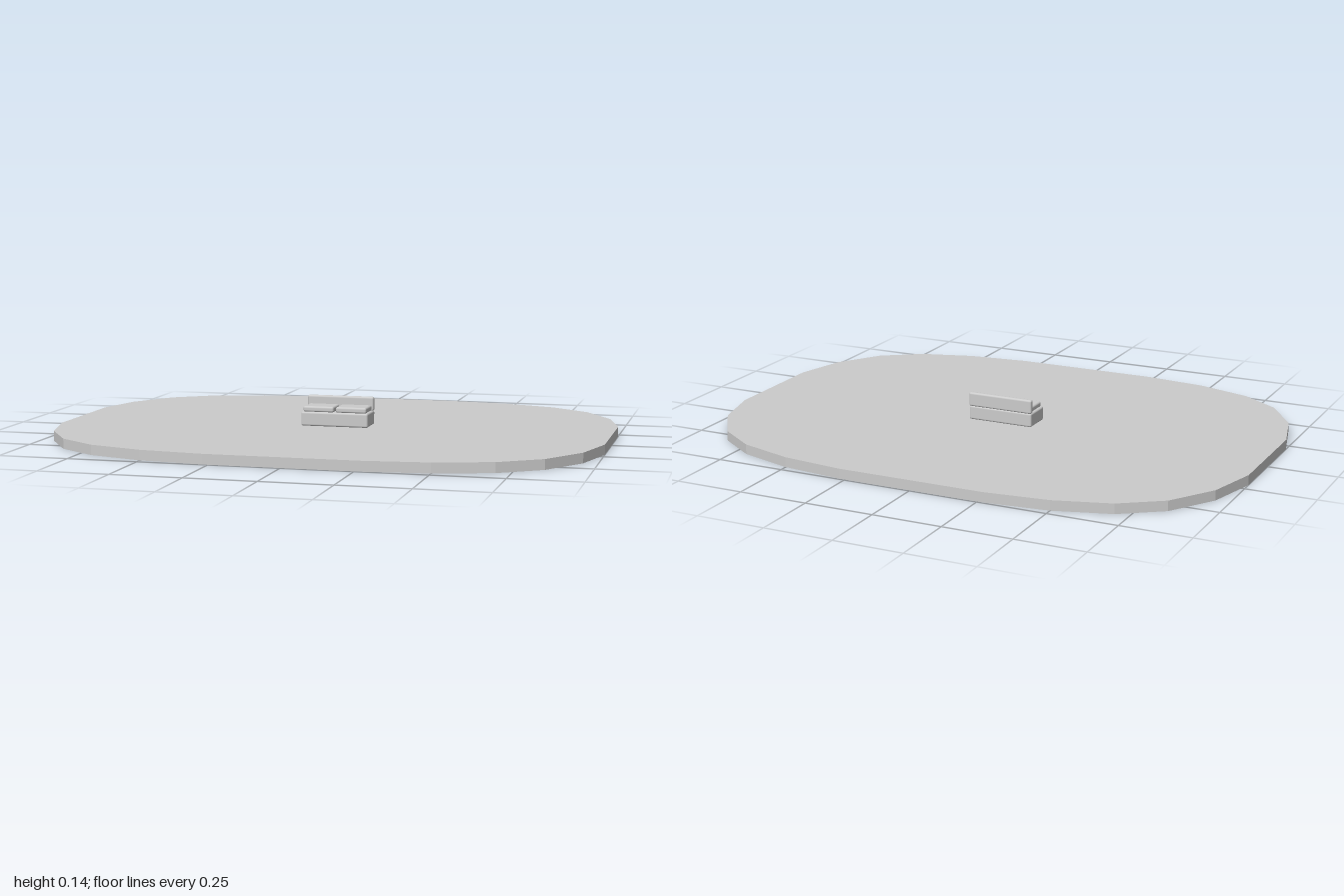
import * as THREE from 'three';
import { RoundedBoxGeometry } from 'three/addons/geometries/RoundedBoxGeometry.js';

const material = new THREE.MeshStandardMaterial({ color: 0xcccccc });
const SLAB_TOP = 0.036;

// Rounded block given by its lower and upper corners
function block(name, [x0, y0, z0], [x1, y1, z1], radius) {
  const geometry = new RoundedBoxGeometry(x1 - x0, y1 - y0, z1 - z0, 3, radius);
  const mesh = new THREE.Mesh(geometry, material);
  mesh.name = name;
  mesh.position.set((x0 + x1) / 2, (y0 + y1) / 2, (z0 + z1) / 2);
  return mesh;
}

// Wide slab: one quarter of the outline mirrored into all four
function createSlab() {
  const quarter = [[1, 0.21], [0.95, 0.4], [0.845, 0.56], [0.7, 0.66], [0.5, 0.72], [0.27, 0.745]];
  const flipped = [...quarter].reverse();
  const outline = [
    ...quarter,
    ...flipped.map(([x, z]) => [-x, z]),
    ...quarter.map(([x, z]) => [-x, -z]),
    ...flipped.map(([x, z]) => [x, -z]),
  ].map(([x, z]) => new THREE.Vector2(x, z));
  const geometry = new THREE.ExtrudeGeometry(new THREE.Shape(outline), { depth: SLAB_TOP, bevelEnabled: false });
  geometry.rotateX(-Math.PI / 2);
  const slab = new THREE.Mesh(geometry, material);
  slab.name = 'groundSlab';
  return slab;
}

// Small two-seat sofa in the middle of the slab
function createSofa() {
  const sofa = new THREE.Group();
  sofa.name = 'sofa';
  sofa.add(block('sofaBase', [-0.125, SLAB_TOP, -0.055], [0.125, 0.088, 0.055], 0.007));
  sofa.add(block('backrest', [-0.125, 0.086, -0.056], [0.125, 0.138, -0.036], 0.007));
  for (const side of [-1, 1]) {
    const name = side > 0 ? 'leftSeatCushion' : 'rightSeatCushion';
    const cushion = block(name, [-0.057, 0.087, -0.038], [0.057, 0.108, 0.05], 0.007);
    cushion.position.x = side * 0.061;
    sofa.add(cushion);
  }
  return sofa;
}

export function createModel() {
  const model = new THREE.Group();
  model.name = 'sofaOnSlab';
  model.add(createSlab(), createSofa());
  return model;
}
